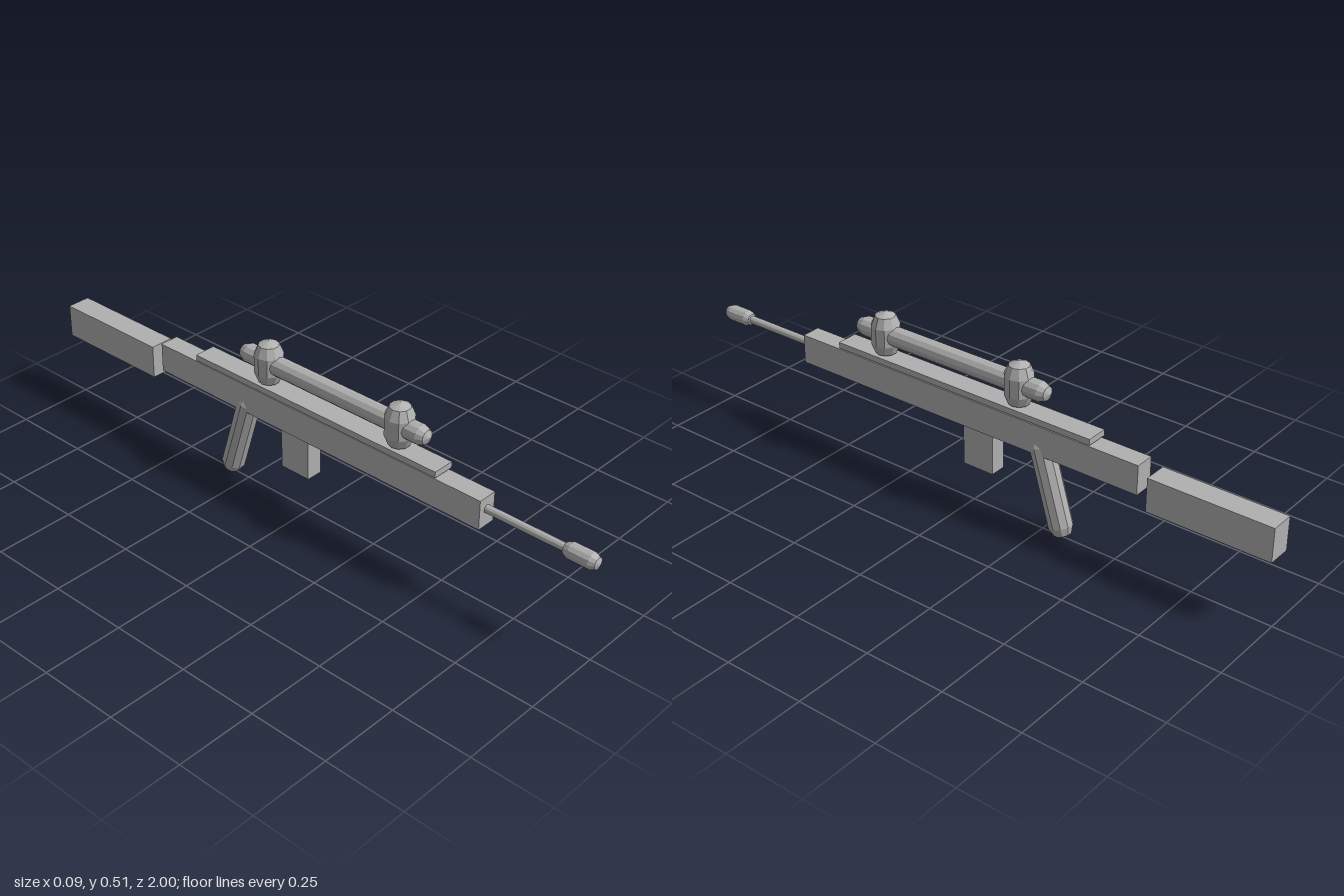
import * as THREE from 'three';

export function createModel() {
  const model = new THREE.Group();
  model.name = 'scopedRifle';
  const grey = new THREE.MeshStandardMaterial({ color: 0xb0b0b0, flatShading: true });
  grey.name = 'grey';

  function add(name, geometry, y, z, tilt = 0) {
    const mesh = new THREE.Mesh(geometry, grey);
    mesh.name = name;
    mesh.position.set(0, y, z);
    mesh.rotation.x = tilt;
    model.add(mesh);
  }

  // Box given by its width and its y and z ranges
  const block = (name, width, y0, y1, z0, z1) =>
    add(name, new THREE.BoxGeometry(width, y1 - y0, z1 - z0), (y0 + y1) / 2, (z0 + z1) / 2);

  // Coarse capsule whose total length includes both ends
  const capsule = (radius, total, sides) =>
    new THREE.CapsuleGeometry(radius, total - 2 * radius, 2, sides);

  // Body, stock, scope rail and magazine
  block('receiver', 0.062, 0.257, 0.349, -0.58, 0.638);
  block('stock', 0.075, 0.222, 0.327, -1, -0.614);
  block('scopeRail', 0.07, 0.355, 0.374, -0.424, 0.488);
  block('magazine', 0.052, 0.13, 0.262, -0.086, 0.019);

  // Slanted pistol grip
  add('grip', capsule(0.037, 0.323, 10), 0.156, -0.2765, 0.297);

  // Barrel with a rounded muzzle
  add('barrel', new THREE.CylinderGeometry(0.0125, 0.0125, 0.34, 12), 0.31, 0.77, Math.PI / 2);
  add('muzzle', capsule(0.025, 0.114, 12), 0.31, 0.943, Math.PI / 2);

  // Scope tube and its two upright mounts
  add('scopeTube', capsule(0.03, 0.702, 12), 0.441, 0.086, Math.PI / 2);
  for (const [name, z] of [['frontScopeMount', 0.332], ['rearScopeMount', -0.158]]) {
    add(name, capsule(0.044, 0.145, 10), 0.44, z);
  }

  return model;
}
